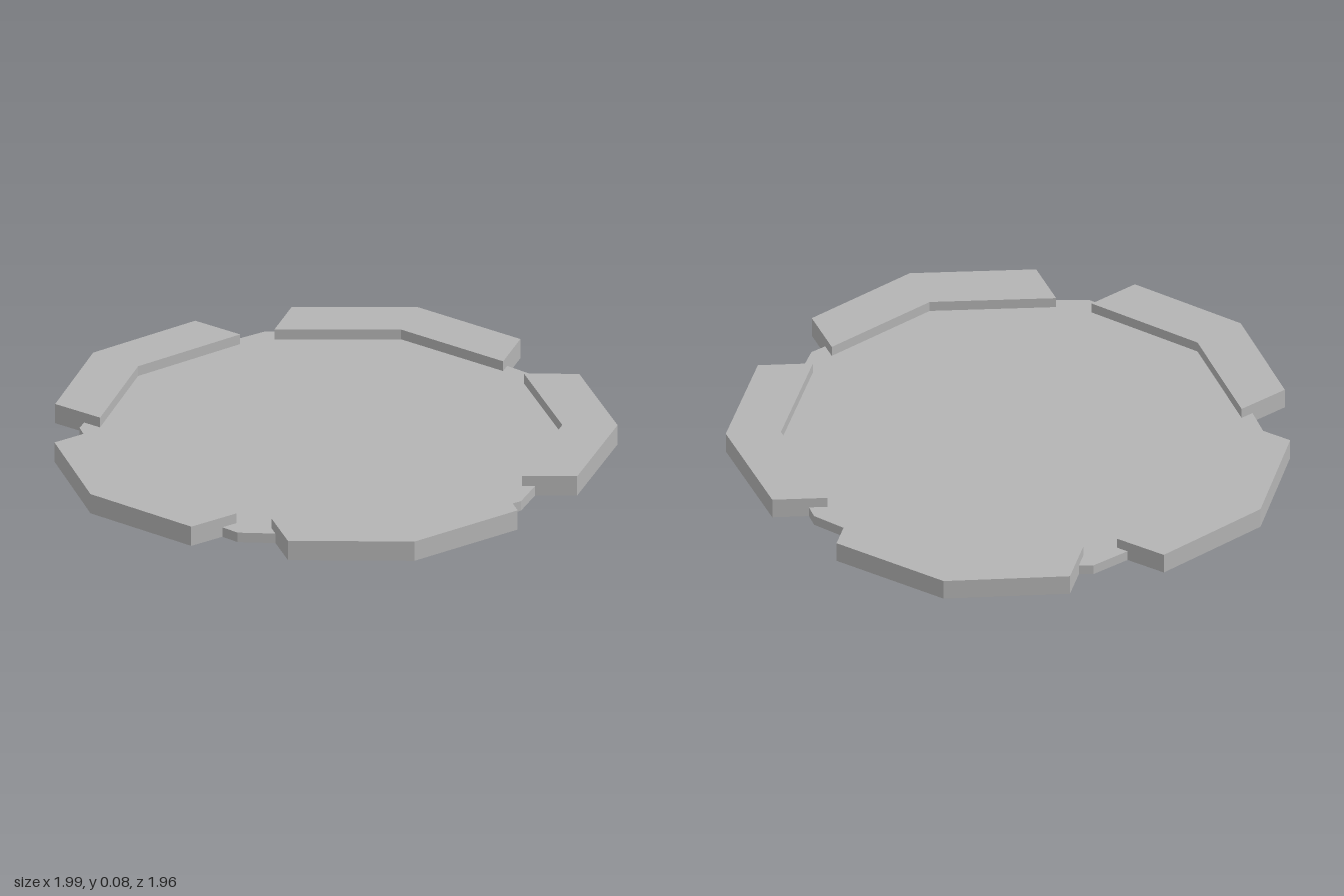
import * as THREE from 'three';

export function createModel() {
  const model = new THREE.Group();
  model.name = 'segmentedDish';
  const grey = new THREE.MeshStandardMaterial({ color: 0xb4b4b4, flatShading: true });
  grey.name = 'plain grey';

  const rimHeight = 0.075;
  const plateHeight = 0.037;
  const ring = new THREE.Group();
  ring.name = 'plateAndRim';
  ring.position.set(0.019, 0, -0.013);
  model.add(ring);

  // Thin ten-sided base plate with a corner on +x
  const plate = new THREE.Mesh(
    new THREE.CylinderGeometry(0.88, 0.88, plateHeight, 10, 1, false, Math.PI / 2),
    grey
  );
  plate.name = 'basePlate';
  plate.position.y = plateHeight / 2;
  ring.add(plate);

  // Chevron rim block: two straight runs meeting at an outer corner
  const apex = 1.021, depth = 0.139, half = 0.425, width = 0.195;
  const outer = [[apex - depth, -half], [apex, 0], [apex - depth, half]];
  const inner = outer.map(([x, y]) => [x - width, y]).reverse();
  const shape = new THREE.Shape([...outer, ...inner].map(([x, y]) => new THREE.Vector2(x, y)));
  const block = new THREE.ExtrudeGeometry(shape, { depth: rimHeight, bevelEnabled: false });
  block.rotateX(-Math.PI / 2);

  // Five blocks around the plate, angles measured from +x towards +z
  [33.1, 105.3, 178, 248.2, 320.7].forEach((angle, i) => {
    const mesh = new THREE.Mesh(block, grey);
    mesh.name = `rimBlock${i + 1}`;
    mesh.rotation.y = -THREE.MathUtils.degToRad(angle);
    ring.add(mesh);
  });

  return model;
}
